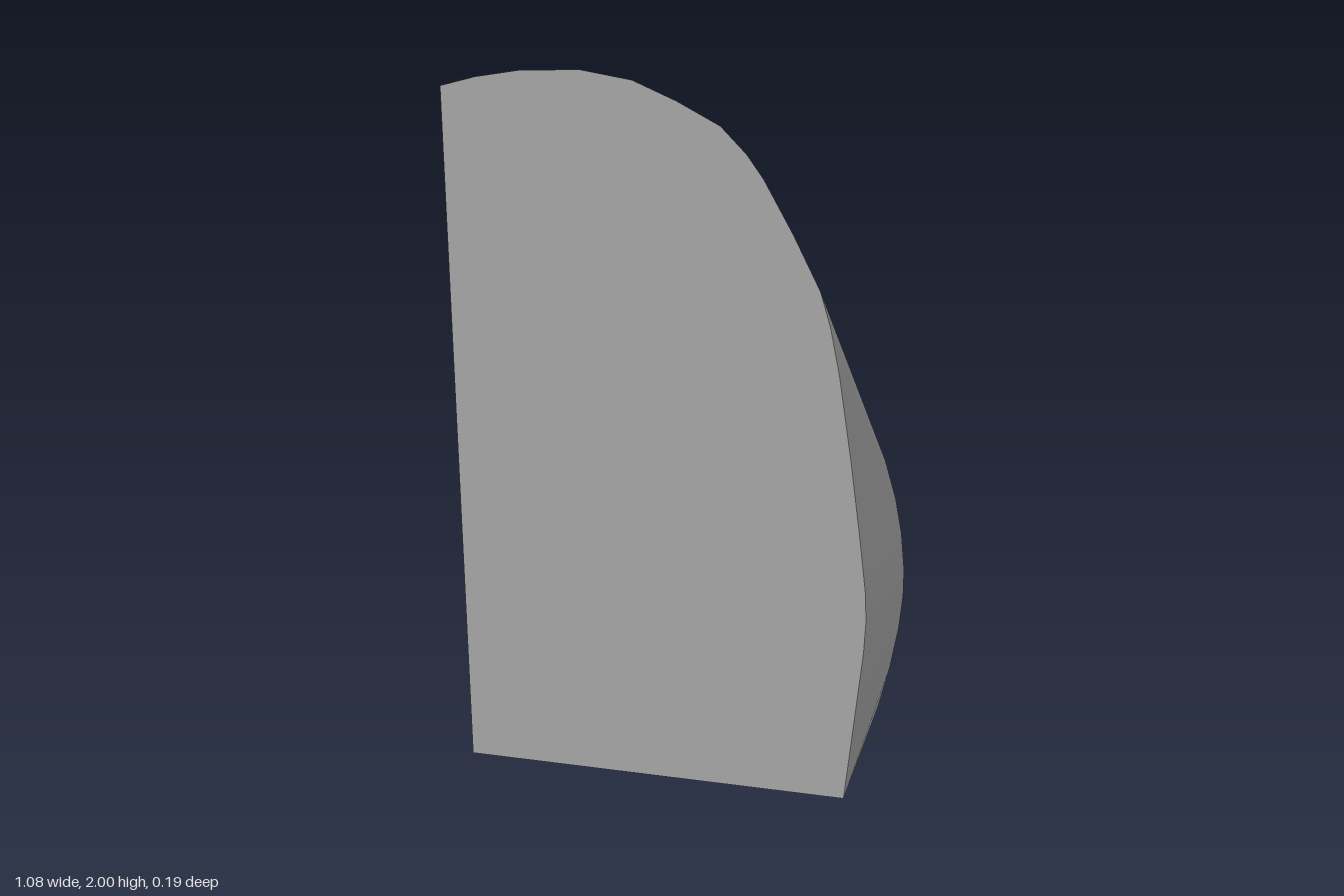
import * as THREE from 'three';
import { ConvexGeometry } from 'three/addons/geometries/ConvexGeometry.js';
import { toCreasedNormals, mergeGeometries } from 'three/addons/utils/BufferGeometryUtils.js';

const FRONT = 0.095, BACK = -0.095, EDGE = -0.542;

// Upper profiles of both faces, sampled at shared x positions
const crown = [
  // x, front y, back y, bulge between them
  [EDGE, 1.93, 1.43, 0.085], [-0.46, 1.96, 1.453, 0.075], [-0.36, 1.985, 1.468, 0.07],
  [-0.22, 2.0, 1.465, 0.07], [-0.1, 1.985, 1.435, 0.065], [0.0, 1.943, 1.395, 0.06],
  [0.1, 1.89, 1.335, 0.05], [0.16, 1.825, 1.295, 0.035],
];
// Curved flanks, running from the crown down to the base
const frontFlank = [[0.2, 1.765], [0.27, 1.63], [0.335, 1.49], [0.36, 1.4], [0.385, 1.27],
  [0.42, 1.03], [0.447, 0.82], [0.466, 0.66], [0.471, 0.57], [0.468, 0.47], [0.432, 0]];
const backFlank = [[0.24, 1.235], [0.32, 1.16], [0.39, 1.08], [0.44, 1.005], [0.48, 0.92],
  [0.51, 0.81], [0.528, 0.71], [0.539, 0.6], [0.54, 0.52], [0.533, 0.42], [0.515, 0.29],
  [0.49, 0.16], [0.446, 0]];

function wedgeGeometry() {
  const points = [new THREE.Vector3(EDGE, 0, FRONT), new THREE.Vector3(EDGE, 0, BACK)];
  frontFlank.forEach(([x, y]) => points.push(new THREE.Vector3(x, y, FRONT)));
  backFlank.forEach(([x, y]) => points.push(new THREE.Vector3(x, y, BACK)));
  // Rounded slope from the tall front to the shorter back
  for (const [x, front, back, bulge] of crown) {
    for (const t of [0, 0.2, 0.4, 0.6, 0.8, 1]) {
      const y = THREE.MathUtils.lerp(front, back, t) + 4 * bulge * t * (1 - t);
      points.push(new THREE.Vector3(x, y, THREE.MathUtils.lerp(FRONT, BACK, t)));
    }
  }
  const hull = new ConvexGeometry(points);

  // Keep the back plane flat and smooth the curved surface around it
  const pos = hull.attributes.position;
  const flat = [], curved = [];
  for (let i = 0; i < pos.count; i += 3) {
    const onBack = [0, 1, 2].every(k => Math.abs(pos.getZ(i + k) - BACK) < 1e-5);
    for (let k = 0; k < 3; k++) {
      (onBack ? flat : curved).push(pos.getX(i + k), pos.getY(i + k), pos.getZ(i + k));
    }
  }
  const pieces = [flat, curved].map(list => {
    const g = new THREE.BufferGeometry();
    g.setAttribute('position', new THREE.Float32BufferAttribute(list, 3));
    return toCreasedNormals(g, 0.6);
  });
  return mergeGeometries(pieces);
}

export function createModel() {
  const grey = new THREE.MeshStandardMaterial({ color: 0xbfbfbf });
  grey.name = 'light grey';
  const body = new THREE.Mesh(wedgeGeometry(), grey);
  body.name = 'roundedWedge';
  const model = new THREE.Group();
  model.name = 'roundedWedgeBlock';
  model.add(body);
  return model;
}
